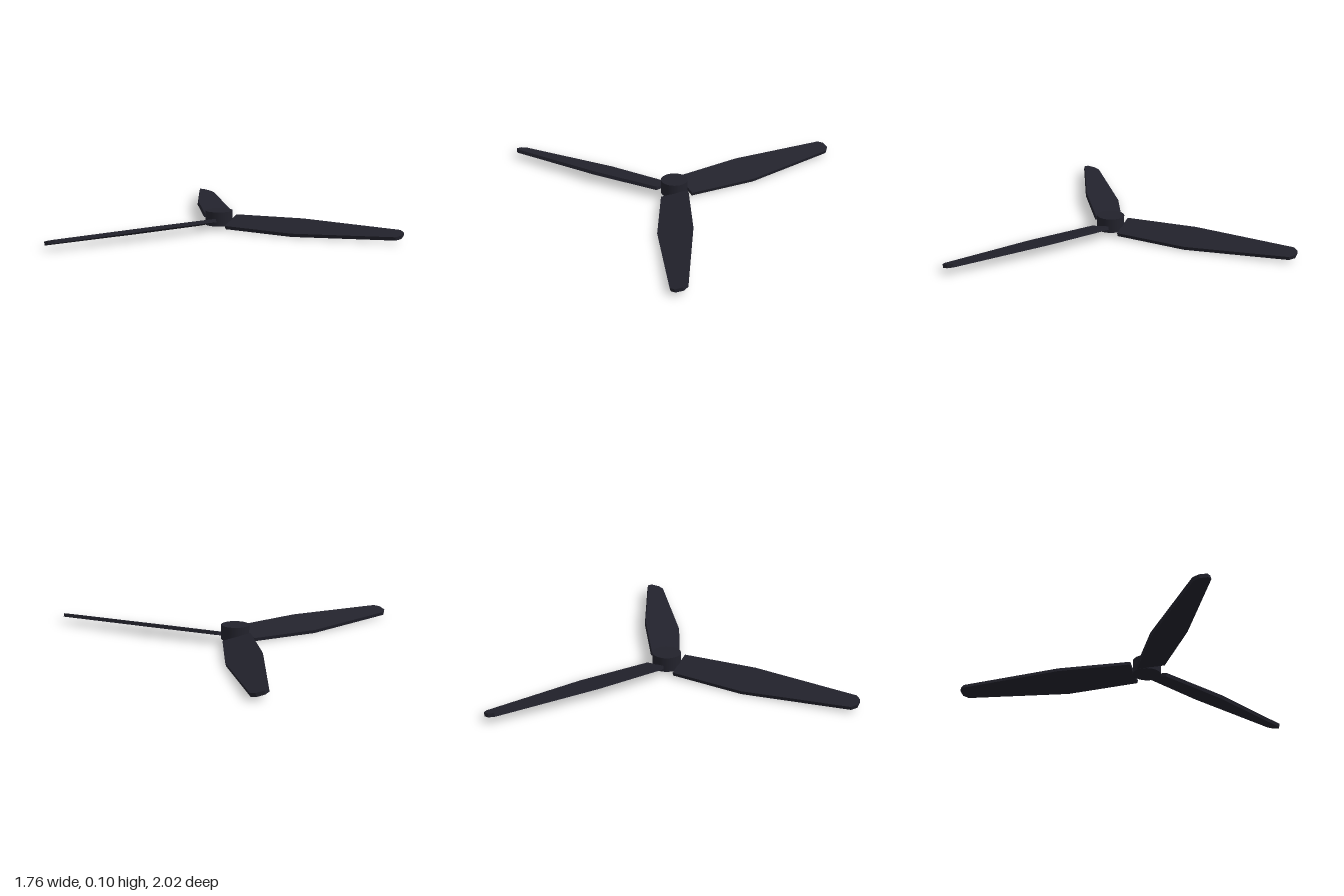
import * as THREE from 'three';

const HUB_X = -0.277;
const BLADE_Y = 0.04;
const THICKNESS = 0.021;
const PITCH = 0.265;

// Blade planform: distance from the hub axis, leading and trailing edge.
const STATIONS = [
  [0.078, -0.086, 0.083],
  [0.512, -0.099, 0.113],
  [1.125, -0.047, 0.052],
  [1.152, -0.022, 0.025],
];

function bladeGeometry() {
  const outline = [
    ...STATIONS.map(([r, , trail]) => new THREE.Vector2(r, trail)),
    ...STATIONS.map(([r, lead]) => new THREE.Vector2(r, lead)).reverse(),
  ];
  const geometry = new THREE.ExtrudeGeometry(new THREE.Shape(outline), {
    depth: THICKNESS,
    bevelEnabled: false,
  });
  // Lay flat, then pitch so the trailing edge sits lower.
  geometry.translate(0, 0, -THICKNESS / 2);
  geometry.rotateX(Math.PI / 2 + PITCH);
  return geometry;
}

export function createModel() {
  const charcoal = new THREE.MeshStandardMaterial({ color: 0x22222c });
  charcoal.name = 'charcoal';

  const model = new THREE.Group();
  model.name = 'propeller';

  // Round hub
  const hub = new THREE.Mesh(new THREE.CylinderGeometry(0.082, 0.082, 0.085, 32), charcoal);
  hub.name = 'hub';
  hub.position.set(HUB_X, 0.0625, 0);
  model.add(hub);

  // Three pitched blades
  const geometry = bladeGeometry();
  for (let i = 0; i < 3; i++) {
    const blade = new THREE.Mesh(geometry, charcoal);
    blade.name = `blade${i + 1}`;
    blade.position.set(HUB_X, BLADE_Y, 0);
    blade.rotation.y = (i * Math.PI * 2) / 3;
    model.add(blade);
  }
  return model;
}
